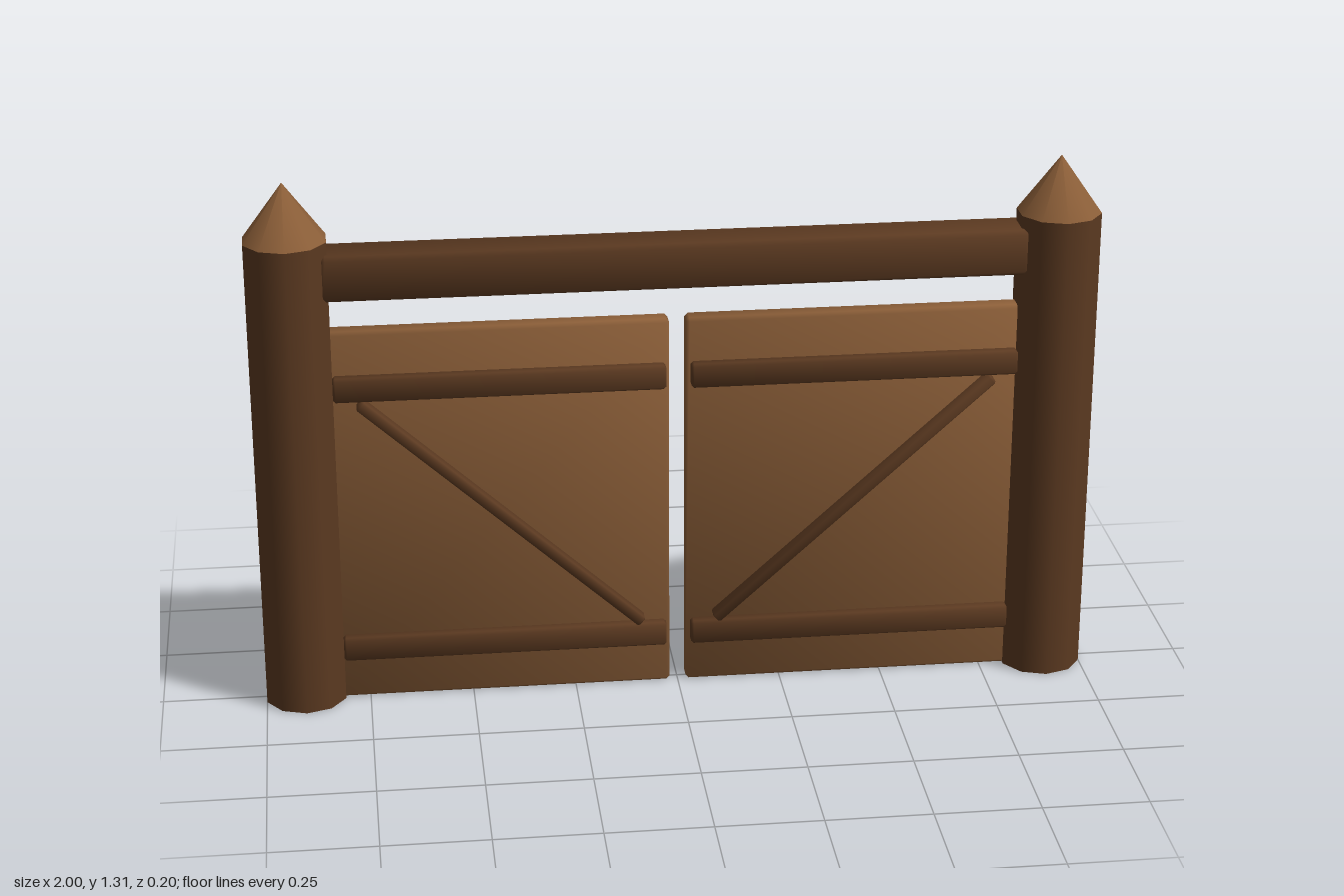
import * as THREE from 'three';
import { ConvexGeometry } from 'three/addons/geometries/ConvexGeometry.js';

const darkWood = new THREE.MeshStandardMaterial({ color: 0x5c3a21 });
darkWood.name = 'darkWood';
const lightWood = new THREE.MeshStandardMaterial({ color: 0x8b5e38 });
lightWood.name = 'lightWood';

// Box with chamfered edges and softened normals
function plank(w, h, d, bevel) {
  const half = [w / 2, h / 2, d / 2];
  const points = [];
  for (const sx of [-1, 1]) for (const sy of [-1, 1]) for (const sz of [-1, 1]) {
    const s = [sx, sy, sz];
    for (let axis = 0; axis < 3; axis++) {
      points.push(new THREE.Vector3(...s.map((v, i) => v * (half[i] - (i === axis ? 0 : bevel)))));
    }
  }
  const geometry = new ConvexGeometry(points);
  const pos = geometry.attributes.position;
  const n = new THREE.Vector3();
  for (let i = 0; i < pos.count; i++) {
    const p = [pos.getX(i), pos.getY(i), pos.getZ(i)];
    n.set(...p.map((v, k) => Math.sign(v) * (half[k] - Math.abs(v) < bevel / 2 ? 1 : 0.35))).normalize();
    geometry.attributes.normal.setXYZ(i, n.x, n.y, n.z);
  }
  return geometry;
}

function add(parent, name, geometry, material, x, y, z) {
  const mesh = new THREE.Mesh(geometry, material);
  mesh.name = name;
  mesh.position.set(x, y, z);
  parent.add(mesh);
  return mesh;
}

export function createModel() {
  const gate = new THREE.Group();
  gate.name = 'woodenGate';

  for (const side of [-1, 1]) {
    const label = side > 0 ? 'left' : 'right';

    // Post with pointed cap
    add(gate, label + 'Post', new THREE.CylinderGeometry(0.1, 0.1, 1.17, 10), darkWood, side * 0.905, 0.585, 0);
    add(gate, label + 'PostCap', new THREE.ConeGeometry(0.1, 0.137, 10), lightWood, side * 0.905, 1.2385, 0);

    // Door leaf with two battens and a diagonal brace
    const door = new THREE.Group();
    door.name = label + 'Door';
    door.position.x = side * 0.42;
    gate.add(door);
    add(door, 'panel', plank(0.8, 0.945, 0.05, 0.008), lightWood, 0, 0.4725, 0);
    add(door, 'lowerBatten', plank(0.78, 0.06, 0.032, 0.006), darkWood, 0, 0.14, 0.039);
    add(door, 'upperBatten', plank(0.78, 0.06, 0.032, 0.006), darkWood, 0, 0.81, 0.039);
    const brace = add(door, 'brace', plank(0.89, 0.026, 0.036, 0.004), darkWood, 0, 0.475, 0.042);
    brace.rotation.z = side * Math.atan2(0.61, 0.675);
  }

  // Top beam between the posts
  add(gate, 'topBeam', plank(1.65, 0.11, 0.112, 0.01), darkWood, 0, 1.085, 0);

  return gate;
}
